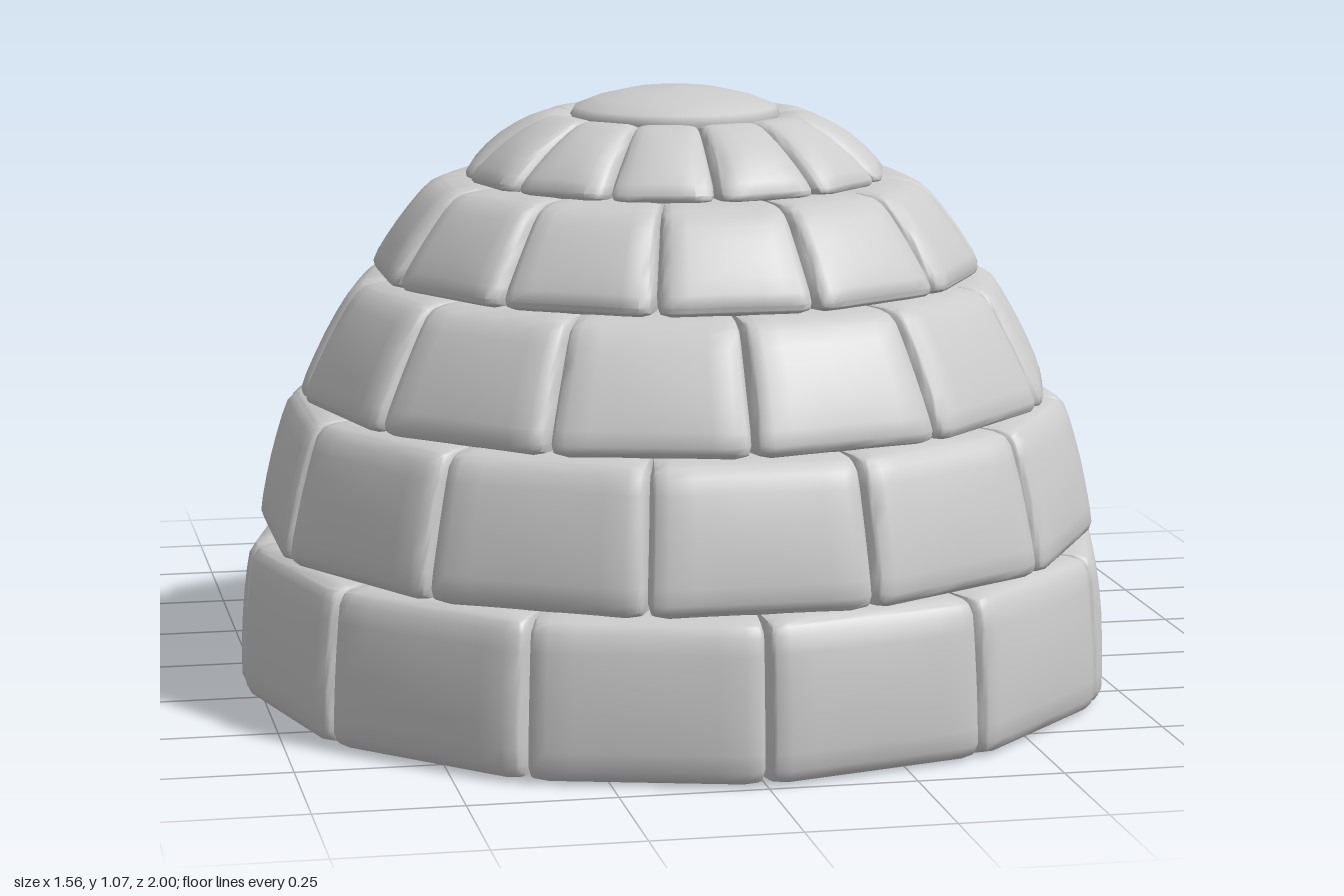
import * as THREE from 'three';
import { toCreasedNormals } from 'three/addons/utils/BufferGeometryUtils.js';

const DOME_Z = 0.22;
const snow = new THREE.MeshStandardMaterial({ color: 0xcccccc });
const hide = new THREE.MeshStandardMaterial({ color: 0x6b3a1c, side: THREE.DoubleSide });
const brass = new THREE.MeshStandardMaterial({ color: 0xb07a2a });
const { lerp, clamp } = THREE.MathUtils;

// Puffed brick: rounded outside edges, sharp flat inner face, warped into place.
// place(u, v, w): u along the course, v across it, w from inside (0) to outside (1).
function brick(name, place, size, radius, bulge) {
  const [hx, hy, depth] = [size[0] / 2, size[1] / 2, size[2]];
  const along = place(1, 0, 1).sub(place(0, 0, 1));
  const across = place(0, 1, 1).add(place(1, 1, 1)).sub(place(0, 0, 1)).sub(place(1, 0, 1));
  const outward = along.cross(across).normalize();
  const geo = new THREE.BoxGeometry(2, 2, 2, 10, 10, 4);
  const pos = geo.attributes.position;
  const p = new THREE.Vector3();
  const core = new THREE.Vector3();
  for (let i = 0; i < pos.count; i++) {
    // Crowd the vertices towards the edges, then round the edges off
    const x = hx * Math.sin(pos.getX(i) * Math.PI / 2);
    const y = hy * Math.sin(pos.getY(i) * Math.PI / 2);
    const z = depth * Math.sin((pos.getZ(i) + 1) * Math.PI / 4);
    core.set(clamp(x, radius - hx, hx - radius), clamp(y, radius - hy, hy - radius), Math.min(z, depth - radius));
    p.set(x, y, z).sub(core);
    if (p.length() > radius) p.setLength(radius);
    p.add(core);
    const w = p.z / depth;
    const u = lerp(x, p.x, w) / hx / 2 + 0.5;
    const v = lerp(y, p.y, w) / hy / 2 + 0.5;
    const puff = bulge * w * Math.sin(Math.PI * v) * (0.4 + 0.6 * Math.sin(Math.PI * u));
    const q = place(0, v, w).lerp(place(1, v, w), u).addScaledVector(outward, puff);
    pos.setXYZ(i, q.x, q.y, q.z);
  }
  const mesh = new THREE.Mesh(toCreasedNormals(geo, 0.75), snow);
  mesh.name = name;
  return mesh;
}

// One ring of twelve bricks; odd rows are shifted by half a brick
function domeCourse(row, index) {
  const group = new THREE.Group();
  group.name = `domeCourse${index + 1}`;
  const step = Math.PI / 6;
  const { y0, y1, r0, r1, in0, in1, drop = 0, bulge = 0.012 } = row;
  const size = [(r0 + r1) * Math.sin(step / 2), Math.hypot(y1 - y0, r0 - r1), 0.11];
  for (let i = 0; i < 12; i++) {
    const start = (i + (index % 2) * 0.5) * step;
    const place = (u, v, w) => {
      const a = start + u * step;
      const r = lerp(lerp(in0, in1, v), lerp(r0, r1, v), w);
      const y = lerp(y0, y1, v) - drop * v * (1 - w);
      return new THREE.Vector3(r * Math.sin(a), y, DOME_Z + r * Math.cos(a));
    };
    group.add(brick('domeBrick', place, size, 0.034, bulge));
  }
  return group;
}

// Arch of bricks across the entrance tunnel
function tunnelArch(index) {
  const group = new THREE.Group();
  group.name = `tunnelArch${index + 1}`;
  const z0 = -0.937 + index * 0.11;
  const step = Math.PI / 8;
  const cuts = [0];
  for (let a = index % 2 ? step / 2 : step; a < Math.PI - 0.01; a += step) cuts.push(a);
  cuts.push(Math.PI);
  const bend = (t) => Math.sign(t) * Math.abs(t) ** 0.9;
  for (let i = 0; i < cuts.length - 1; i++) {
    const place = (u, v, w) => {
      const a = u ? cuts[i + 1] : cuts[i];
      const x = lerp(0.315, 0.407, w) * bend(Math.cos(a));
      const y = lerp(0.45, 0.546, w) * bend(Math.max(Math.sin(a), 0));
      return new THREE.Vector3(x, y + 0.011, z0 + v * 0.108);
    };
    const width = place(0, 0, 1).distanceTo(place(1, 0, 1));
    group.add(brick('tunnelBrick', place, [width, 0.108, 0.09], 0.018, 0.003));
  }
  return group;
}

// Hanging door flap whose uneven pleats gather towards the top of the arch
function doorFlap() {
  const geo = new THREE.BoxGeometry(2, 1, 0.02, 72, 20, 1);
  const pos = geo.attributes.position;
  for (let i = 0; i < pos.count; i++) {
    const u = pos.getX(i);
    const v = Math.sin((pos.getY(i) + 0.5) * Math.PI / 2);
    const half = 0.335 * Math.max(1 - v * v, 0.0004) ** 0.47;
    const wave = 0.6 * Math.cos(u * 12 + 0.5) + 0.4 * Math.cos(u * 21 + 1);
    const pleat = wave * 0.012 * (1 - 0.3 * v) * (1 - u ** 6);
    const hem = 0.005 * (1 - v) * (1 + wave);
    pos.setXYZ(i, u * half, 0.01 + v * 0.437 + hem, -0.954 + pos.getZ(i) + pleat);
  }
  const mesh = new THREE.Mesh(toCreasedNormals(geo, 0.8), hide);
  mesh.name = 'doorFlap';
  return mesh;
}

export function createModel() {
  const model = new THREE.Group();
  model.name = 'igloo';

  // Dome courses from the ground up
  const rows = [
    { y0: 0.003, y1: 0.279, r0: 0.79, r1: 0.77, in0: 0.67, in1: 0.65 },
    { y0: 0.277, y1: 0.527, r0: 0.76, r1: 0.697, in0: 0.65, in1: 0.56 },
    { y0: 0.525, y1: 0.742, r0: 0.687, r1: 0.572, in0: 0.56, in1: 0.42 },
    { y0: 0.74, y1: 0.912, r0: 0.56, r1: 0.435, in0: 0.42, in1: 0.26 },
    { y0: 0.908, y1: 1.032, r0: 0.397, r1: 0.225, in0: 0.26, in1: 0.13, drop: 0.03, bulge: 0.02 },
  ];
  rows.forEach((row, i) => model.add(domeCourse(row, i)));

  // Capstone
  const profile = [[0, 0.96], [0.14, 0.965], [0.175, 0.995], [0.186, 1.022], [0.178, 1.037],
    [0.14, 1.052], [0.08, 1.066], [0, 1.071]].map(([x, y]) => new THREE.Vector2(x, y));
  const cap = new THREE.Mesh(new THREE.LatheGeometry(profile, 32), snow);
  cap.name = 'capstone';
  cap.position.z = DOME_Z;
  model.add(cap);

  // Entrance tunnel
  for (let i = 0; i < 5; i++) model.add(tunnelArch(i));

  // Door with its knob
  model.add(doorFlap());
  const knob = new THREE.Mesh(new THREE.CylinderGeometry(0.028, 0.028, 0.05, 20), brass);
  knob.name = 'doorKnob';
  knob.rotation.x = Math.PI / 2;
  knob.position.set(-0.17, 0.21, -0.975);
  model.add(knob);

  return model;
}
